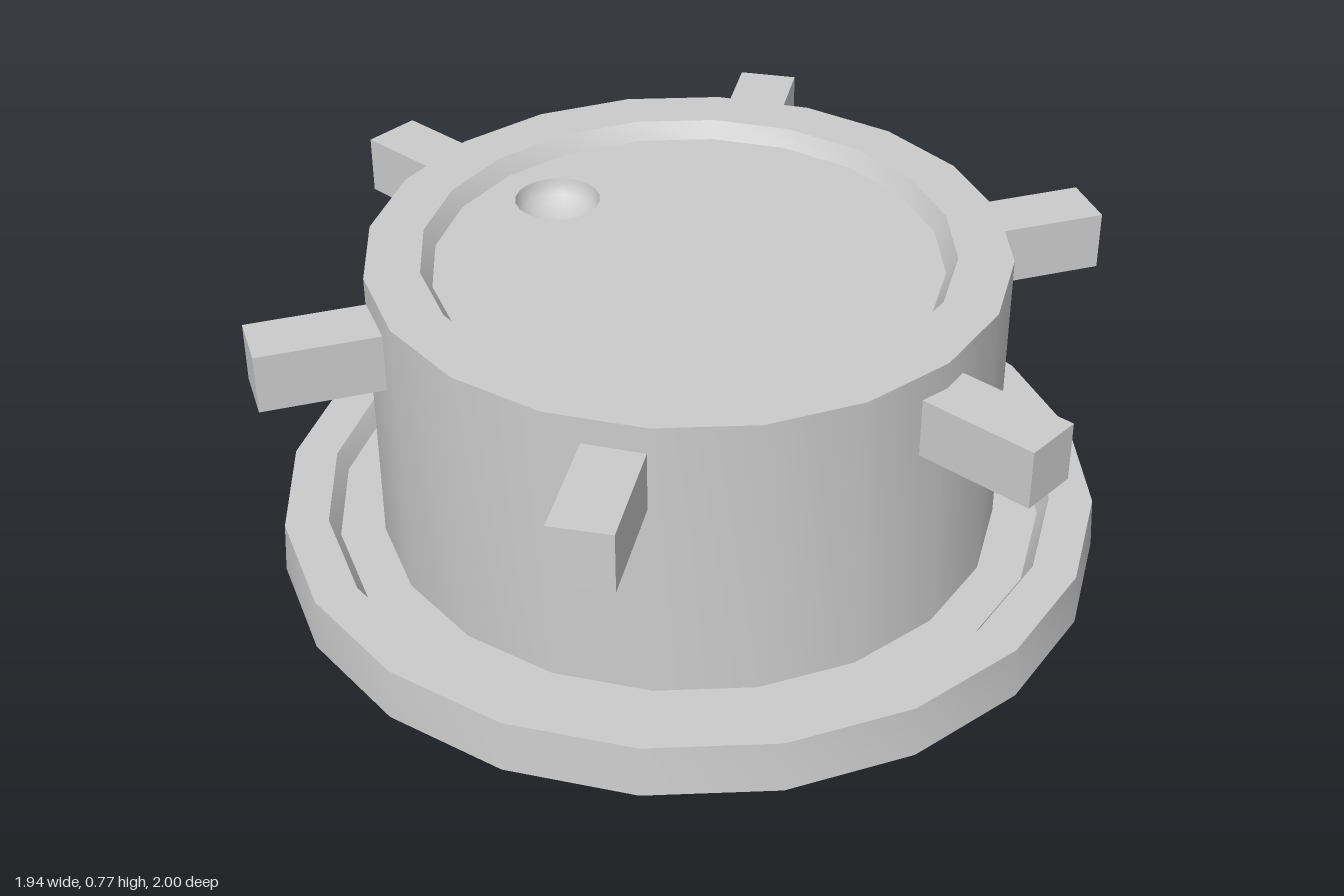
import * as THREE from 'three';
import { toCreasedNormals } from 'three/addons/utils/BufferGeometryUtils.js';

const SIDES = 20;
const material = new THREE.MeshStandardMaterial({ color: 0xcccccc });

// Revolve [radius, height] pairs, smooth around and sharp at the rims
function turned(name, points, sides = SIDES) {
  const profile = points.map(([r, y]) => new THREE.Vector2(r, y));
  const geometry = toCreasedNormals(new THREE.LatheGeometry(profile, sides), 0.6);
  return named(name, geometry);
}

function named(name, geometry) {
  const mesh = new THREE.Mesh(geometry, material);
  mesh.name = name;
  return mesh;
}

// Regular polygon points, first one on the y axis
function ring(radius, sides, cx = 0, cy = 0) {
  return Array.from({ length: sides }, (_, i) => {
    const a = (i / sides) * Math.PI * 2;
    return new THREE.Vector2(cx - Math.sin(a) * radius, cy + Math.cos(a) * radius);
  });
}

export function createModel() {
  const group = new THREE.Group();
  group.name = 'spokedDrum';

  // Base plate with a shallow groove around the drum
  group.add(turned('base', [
    [0, 0], [0.97, 0], [0.962, 0.125], [0.86, 0.125], [0.835, 0.08], [0.72, 0.08],
  ]));

  // Drum wall and its raised rim
  const floorY = 0.73;
  group.add(turned('drum', [
    [0.73, 0.08], [0.73, 0.77], [0.605, 0.77], [0.58, floorY],
  ]));

  // Recessed top with a round opening for the dimple
  const dimpleR = 0.1, dimpleZ = -0.415, dimpleSides = 20;
  const topShape = new THREE.Shape(ring(0.58, SIDES));
  topShape.holes.push(new THREE.Path(ring(dimpleR, dimpleSides, 0, -dimpleZ)));
  const top = named('recessedTop', new THREE.ShapeGeometry(topShape).rotateX(-Math.PI / 2));
  top.position.y = floorY;
  group.add(top);

  // Dimple bowl, hollow side up
  const bowl = Array.from({ length: 7 }, (_, i) => {
    const a = (i / 6) * Math.PI / 2;
    return [dimpleR * Math.cos(a), -0.07 * Math.sin(a)];
  });
  const dimple = turned('dimple', bowl, dimpleSides);
  dimple.position.set(0, floorY, dimpleZ);
  group.add(dimple);

  // Six square pegs standing out from the drum
  const pegs = new THREE.Group();
  pegs.name = 'pegs';
  const inner = 0.66, outer = 1;
  for (let i = 0; i < 6; i++) {
    const geometry = new THREE.BoxGeometry(0.14, 0.14, outer - inner);
    geometry.translate(0, 0.637, (inner + outer) / 2);
    const peg = named('peg' + (i + 1), geometry);
    peg.rotation.y = (i * Math.PI) / 3;
    pegs.add(peg);
  }
  group.add(pegs);

  return group;
}
